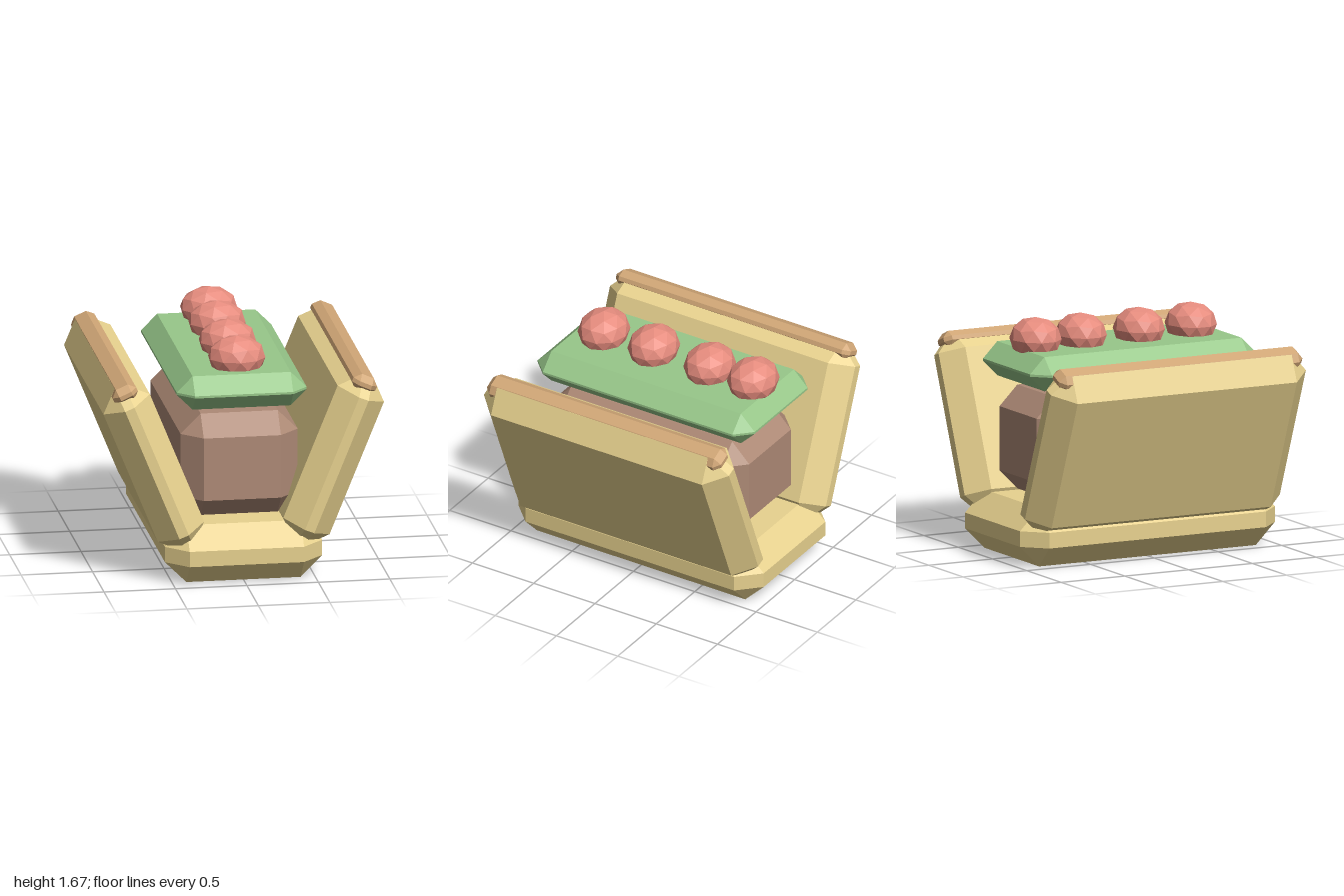
import * as THREE from 'three';
import { ConvexGeometry } from 'three/addons/geometries/ConvexGeometry.js';

const material = (color) => new THREE.MeshStandardMaterial({ color, flatShading: true });

// Box with every edge cut at 45 degrees by c
function chamferBox(w, h, d, c) {
  const points = [];
  for (const x of [-w / 2, w / 2])
    for (const y of [-h / 2, h / 2])
      for (const z of [-d / 2, d / 2]) {
        const ix = x - Math.sign(x) * c, iy = y - Math.sign(y) * c, iz = z - Math.sign(z) * c;
        points.push(
          new THREE.Vector3(x, iy, iz),
          new THREE.Vector3(ix, y, iz),
          new THREE.Vector3(ix, iy, z));
      }
  return new ConvexGeometry(points);
}

export function createModel() {
  const group = new THREE.Group();
  const shell = material(0xe8d28f);
  const toasted = material(0xd0a676);
  const meat = material(0xae8a76);
  const lettuce = material(0x98c88a);
  const tomato = material(0xe68c7e);

  const add = (name, geometry, mat, x, y, z, tilt = 0) => {
    const mesh = new THREE.Mesh(geometry, mat);
    mesh.name = name;
    mesh.position.set(x, y, z);
    mesh.rotation.z = tilt;
    group.add(mesh);
  };

  // Shell: bottom slab, two leaning sides and their toasted rims
  add('shellBase', chamferBox(1.1, 0.41, 2, 0.15), shell, 0, 0.205, 0);
  const sideGeometry = chamferBox(0.35, 1.29, 2, 0.14);
  const rimGeometry = chamferBox(0.18, 0.12, 1.91, 0.045);
  for (const [side, s] of [['left', 1], ['right', -1]]) {
    add(side + 'ShellSide', sideGeometry, shell, s * 0.629, 0.835, 0, -s * 0.386);
    add(side + 'ShellRim', rimGeometry, toasted, s * 0.837, 1.387, 0, -s * 0.42);
  }

  // Fillings
  add('meatFilling', chamferBox(0.82, 0.73, 1.6, 0.14), meat, 0, 0.787, 0);
  add('lettuceLayer', chamferBox(0.91, 0.24, 1.77, 0.112), lettuce, 0, 1.335, -0.005);

  // Squashed tomato balls, one vertex pointing up
  const ball = new THREE.IcosahedronGeometry(1, 1);
  ball.rotateZ(Math.atan(2 / (1 + Math.sqrt(5))));
  ball.scale(0.202, 0.15, 0.175);
  [0.555, 0.148, -0.308, -0.663].forEach((z, i) =>
    add('tomato' + (i + 1), ball, tomato, 0, 1.521, z));

  return group;
}
